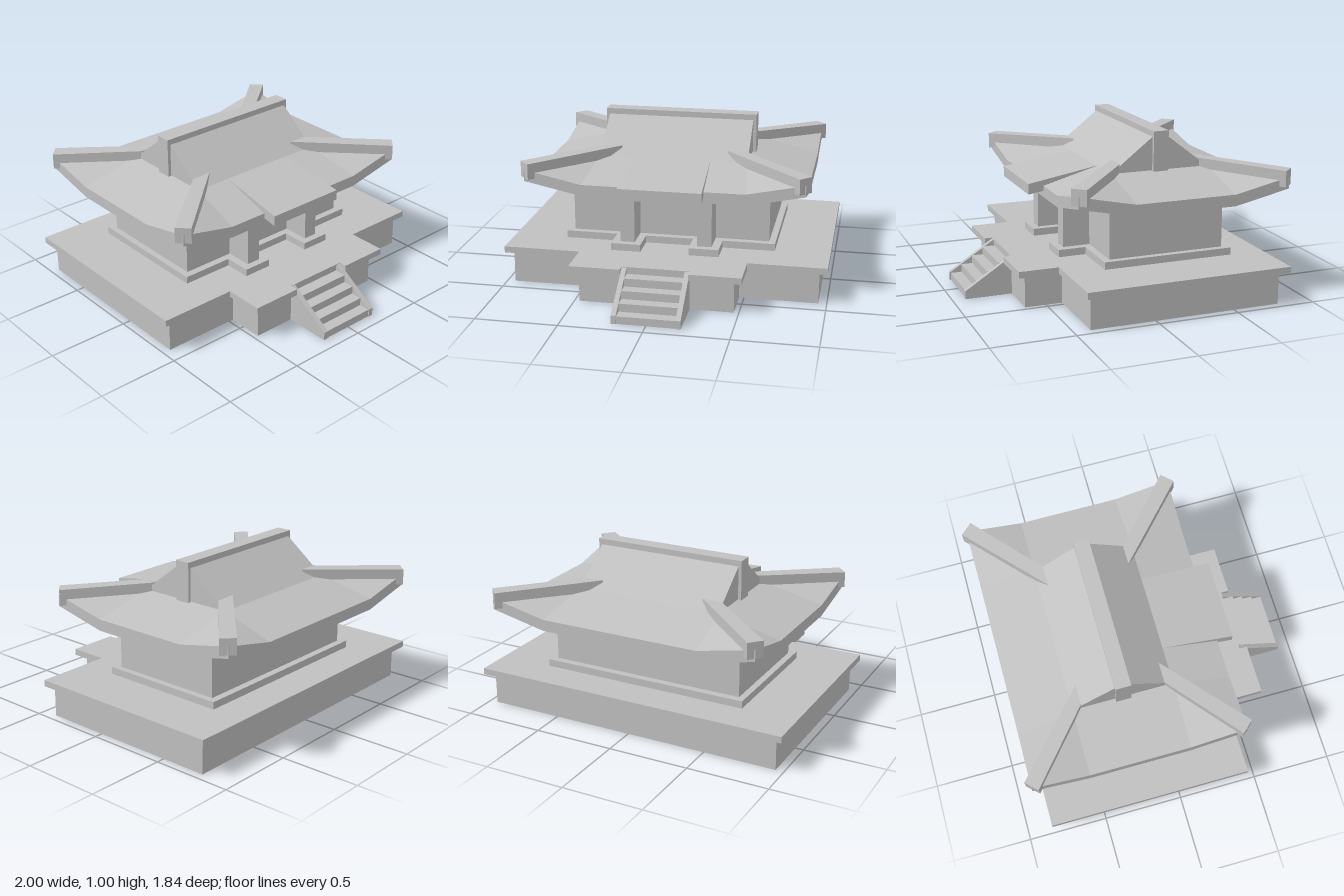
import * as THREE from 'three';

export function createModel() {
  const model = new THREE.Group();
  model.name = 'hall';
  const stone = new THREE.MeshStandardMaterial({ color: 0xc0c0c0, flatShading: true });
  stone.name = 'pale grey';
  const CZ = -0.2275; // centre line of the roof in z

  function add(name, geometry, parent = model) {
    const mesh = new THREE.Mesh(geometry, stone);
    mesh.name = name;
    parent.add(mesh);
    return mesh;
  }

  // Box given by its limits
  function box(name, x0, x1, y0, y1, z0, z1) {
    const g = new THREE.BoxGeometry(x1 - x0, y1 - y0, z1 - z0);
    g.translate((x0 + x1) / 2, (y0 + y1) / 2, (z0 + z1) / 2);
    return add(name, g);
  }

  // Flat plate from a half outline of [x, z] points, mirrored in x
  function plate(name, half, y0, y1) {
    const outline = [...half, ...half.map(([x, z]) => [-x, z]).reverse()];
    const shape = new THREE.Shape(outline.map(([x, z]) => new THREE.Vector2(x, -z)));
    const g = new THREE.ExtrudeGeometry(shape, { depth: y1 - y0, bevelEnabled: false });
    g.rotateX(-Math.PI / 2);
    g.translate(0, y0, 0);
    return add(name, g);
  }

  // Flat-faced geometry from polygons of [x, y, z] corners
  function faces(polys, flip = () => false) {
    const pos = [];
    polys.forEach((poly, n) => {
      const p = flip(n) ? [...poly].reverse() : poly;
      for (let i = 1; i < p.length - 1; i++) pos.push(...p[0], ...p[i], ...p[i + 1]);
    });
    const g = new THREE.BufferGeometry();
    g.setAttribute('position', new THREE.Float32BufferAttribute(pos, 3));
    g.computeVertexNormals();
    return g;
  }

  // Solid between a lower and an upper ring, both anticlockwise from above
  function solid(low, high, flipped = false) {
    const polys = [[...low].reverse(), high];
    low.forEach((a, i) => {
      const j = (i + 1) % low.length;
      polys.push([a, low[j], high[j], high[i]]);
    });
    return faces(polys, () => flipped);
  }

  // Terrace with a front landing, notched for the stairs
  plate('terraceBody', [[0.95, -0.79], [0.95, 0.4], [0.47, 0.4], [0.47, 0.63]], 0, 0.2);
  plate('terraceSlab', [[1, -0.84], [1, 0.435], [0.52, 0.435], [0.52, 0.68],
    [0.205, 0.68], [0.205, 0.63]], 0.2, 0.24);

  // Stairs and sloping side walls
  for (let i = 0; i < 4; i++) {
    box('step', -0.175, 0.175, 0, 0.05 * (i + 1) - 0.003, 0.63, 0.915 - 0.07 * i);
  }
  for (const s of [-1, 1]) {
    const a = s * 0.19 - 0.015, b = s * 0.19 + 0.015;
    add('stairWall', solid(
      [[a, 0, 0.63], [a, 0, 0.92], [b, 0, 0.92], [b, 0, 0.63]],
      [[a, 0.237, 0.63], [a, 0.05, 0.92], [b, 0.05, 0.92], [b, 0.237, 0.63]]));
  }

  // Hall on its plinth, with two porch piers and a lintel
  plate('plinth', [[0.66, -0.62], [0.66, 0.2], [0.335, 0.2], [0.335, 0.37],
    [0.15, 0.37], [0.15, 0.2]], 0.24, 0.285);
  box('hallWalls', -0.62, 0.62, 0.285, 0.69, -0.575, 0.155);
  for (const s of [-1, 1]) {
    box('porchPier', s * 0.24 - 0.045, s * 0.24 + 0.045, 0.285, 0.68, 0.155, 0.325);
  }
  box('porchLintel', -0.195, 0.195, 0.55, 0.68, 0.155, 0.325);

  // Flared lower roof: one quarter, mirrored to four
  const T = 0.07;
  const innerF = [0, 0.76, 0.3125], inner = [0.465, 0.76, 0.3125], innerS = [0.465, 0.76, 0];
  const rim = [[0, 0.67, 0.6625], [0.5, 0.67, 0.6625], [0.855, 0.745, 0.6625],
    [0.855, 0.67, 0.3125], [0.855, 0.67, 0]];
  const drop = ([x, y, z]) => [x, y - T, z];
  const top = [
    [innerF, rim[0], rim[1], inner], [inner, rim[1], rim[2]],
    [inner, rim[2], rim[3]], [inner, rim[3], rim[4], innerS],
  ];
  const quarter = [...top, ...top.map((p) => p.map(drop).reverse())];
  for (let i = 0; i < 4; i++) {
    quarter.push([drop(rim[i]), drop(rim[i + 1]), rim[i + 1], rim[i]]);
  }
  const hipPlan = [[0.335, 0.2575], [0.82, 0.6925], [0.885, 0.6225], [0.46, 0.2575]];
  const hipTop = [0.815, 0.79, 0.79, 0.812];
  const hipLow = [0.7, 0.692, 0.692, 0.7];
  for (const sx of [-1, 1]) {
    for (const sz of [-1, 1]) {
      const flipped = sx * sz < 0;
      const place = ([x, y, z]) => [sx * x, y, CZ + sz * z];
      add('lowerRoof', faces(quarter.map((p) => p.map(place)), () => flipped));
      // Raised hip beam running out past the corner
      const ring = (ys) => hipPlan.map(([x, z], i) => place([x, ys[i], z]));
      add('hipBeam', solid(ring(hipLow), ring(hipTop), flipped));
    }
  }

  // Gabled upper roof
  const rect = (x, y, d) => [[-x, y, CZ - d], [-x, y, CZ + d], [x, y, CZ + d], [x, y, CZ - d]];
  add('upperRoof', solid(rect(0.465, 0.76, 0.3125), rect(0.465, 0.965, 0.047)));

  // Ridge with end posts down the gables
  box('ridge', -0.485, 0.485, 0.96, 1.0, CZ - 0.048, CZ + 0.048);
  for (const s of [-1, 1]) {
    box('gablePost', s * 0.475 - 0.01, s * 0.475 + 0.01, 0.75, 0.96, CZ - 0.048, CZ + 0.048);
  }

  // Porch roof running forward from the main slope
  add('porchRoof', solid(
    [[-0.235, 0.69, 0.085], [-0.255, 0.625, 0.53], [0.255, 0.625, 0.53], [0.235, 0.69, 0.085]],
    [[-0.235, 0.761, 0.085], [-0.255, 0.69, 0.53], [0.255, 0.69, 0.53], [0.235, 0.761, 0.085]]));

  return model;
}
